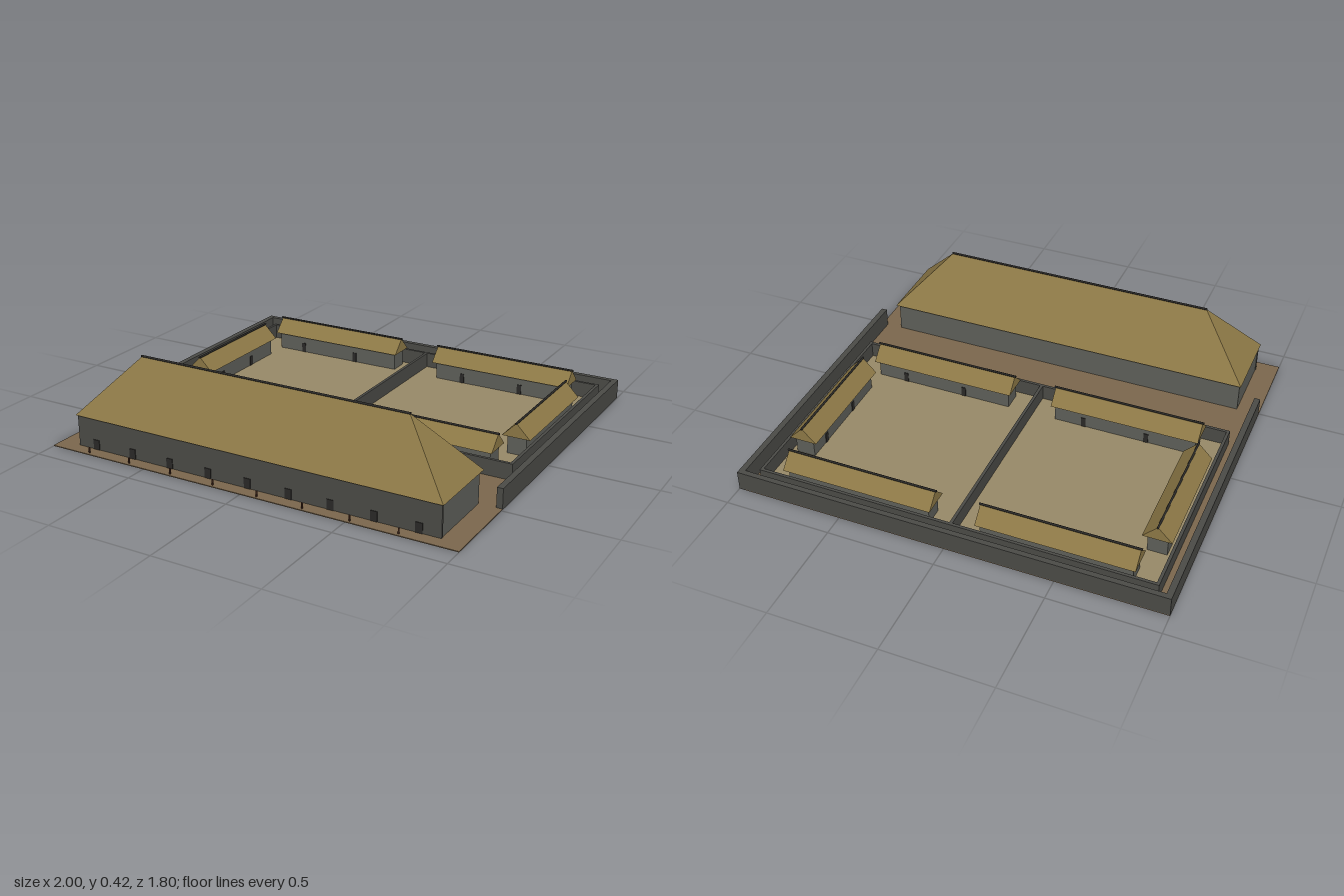
import * as THREE from 'three';

const mat = (color) => new THREE.MeshStandardMaterial({ color, side: THREE.DoubleSide });
const M = {
  earth: mat(0x7a664c), court: mat(0x968867), stone: mat(0x4a4a46), plaster: mat(0x5e5f59),
  thatch: mat(0x8c7846), dark: mat(0x2a2927), wood: mat(0x45281c),
};

// Box given by its extents
function box(parent, name, m, x0, x1, y0, y1, z0, z1) {
  const mesh = new THREE.Mesh(new THREE.BoxGeometry(x1 - x0, y1 - y0, z1 - z0), m);
  mesh.position.set((x0 + x1) / 2, (y0 + y1) / 2, (z0 + z1) / 2);
  mesh.name = name;
  parent.add(mesh);
  return mesh;
}

// Pitched roof along x: a shorter ridge makes it hipped
function roof(parent, name, halfL, halfW, halfRidge, y0, y1) {
  const a = [-halfL, y0, halfW], b = [halfL, y0, halfW], c = [halfL, y0, -halfW], d = [-halfL, y0, -halfW];
  const l = [-halfRidge, y1, 0], r = [halfRidge, y1, 0];
  const faces = [a, b, r, a, r, l, c, d, l, c, l, r, b, c, r, d, a, l, a, d, c, a, c, b];
  const geo = new THREE.BufferGeometry();
  geo.setAttribute('position', new THREE.Float32BufferAttribute(faces.flat(), 3));
  geo.computeVertexNormals();
  const mesh = new THREE.Mesh(geo, M.thatch);
  mesh.name = name;
  parent.add(mesh);

  const pole = new THREE.Mesh(new THREE.CylinderGeometry(0.005, 0.005, 2 * halfRidge + 0.01, 8), M.dark);
  pole.rotation.z = Math.PI / 2;
  pole.position.y = y1;
  pole.name = 'ridgePole';
  parent.add(pole);
}

// Small gabled house whose doors face its local +z
function smallHouse(name, x, z, length, turn) {
  const g = new THREE.Group();
  const h = length / 2;
  g.name = name;
  box(g, 'houseWalls', M.plaster, -h + 0.015, h - 0.015, 0.004, 0.1, -0.045, 0.045);
  roof(g, 'thatchRoof', h, 0.067, h, 0.093, 0.161);
  for (const dx of [-0.28, 0.15]) {
    box(g, 'door', M.dark, dx * length - 0.011, dx * length + 0.011, 0.004, 0.055, 0.04, 0.048);
  }
  g.position.set(x, 0, z);
  g.rotation.y = turn;
  return g;
}

export function createModel() {
  const root = new THREE.Group();
  root.name = 'walledCompound';
  box(root, 'ground', M.earth, -1, 1, 0, 0.004, -0.9, 0.9);

  // Outer stone wall with capping, open at the front
  const outer = new THREE.Group();
  outer.name = 'outerWall';
  root.add(outer);
  box(outer, 'backWall', M.stone, -1, 1, 0, 0.095, -0.9, -0.875);
  for (const s of [-1, 1]) {
    const x0 = s < 0 ? -1 : 0.972;
    box(outer, 'sideWall', M.stone, x0, x0 + 0.028, 0, 0.095, -0.9, 0.49);
  }

  // Twin courtyards with a thin enclosure and dividing wall
  const inner = new THREE.Group();
  inner.name = 'courtyards';
  root.add(inner);
  box(inner, 'innerBackWall', M.stone, -0.928, 0.928, 0.004, 0.08, -0.832, -0.818);
  box(inner, 'innerFrontWall', M.stone, -0.928, 0.928, 0.004, 0.08, 0.212, 0.226);
  for (const x of [-0.921, 0, 0.921]) {
    box(inner, 'innerCrossWall', M.stone, x - 0.007, x + 0.007, 0.004, 0.08, -0.832, 0.226);
  }
  for (const s of [-1, 1]) {
    box(inner, 'courtyardFloor', M.court, s * 0.46 - 0.455, s * 0.46 + 0.455, 0.003, 0.007, -0.82, 0.215);
    box(inner, 'gate', M.dark, s * 0.46 - 0.035, s * 0.46 + 0.035, 0.004, 0.07, 0.208, 0.231);
    // Three houses round each courtyard
    inner.add(smallHouse('backHouse', s * 0.462, -0.743, 0.715, 0));
    inner.add(smallHouse('frontHouse', s * 0.462, 0.133, 0.715, Math.PI));
    inner.add(smallHouse('sideHouse', s * 0.842, -0.303, 0.588, -s * Math.PI / 2));
  }

  // Long main hall with hipped thatch
  const hall = new THREE.Group();
  hall.name = 'mainHall';
  hall.position.z = 0.66;
  root.add(hall);
  box(hall, 'hallWalls', M.plaster, -0.895, 0.895, 0.004, 0.15, -0.168, 0.172);
  box(hall, 'stoneFacade', M.stone, -0.898, 0.898, 0.004, 0.148, 0.17, 0.18);
  roof(hall, 'hippedRoof', 0.905, 0.187, 0.66, 0.15, 0.414);
  for (let i = -4; i <= 4; i++) {
    const x = i * 0.2;
    box(hall, 'doorway', M.dark, x - 0.016, x + 0.016, 0.004, 0.05, 0.176, 0.183);
  }

  // Row of short posts before the hall
  for (let i = 0; i < 8; i++) {
    const post = new THREE.Mesh(new THREE.CylinderGeometry(0.004, 0.004, 0.028, 8), M.wood);
    post.position.set(-0.805 + i * 0.22, 0.016, 0.886);
    post.name = 'post';
    root.add(post);
  }
  return root;
}
